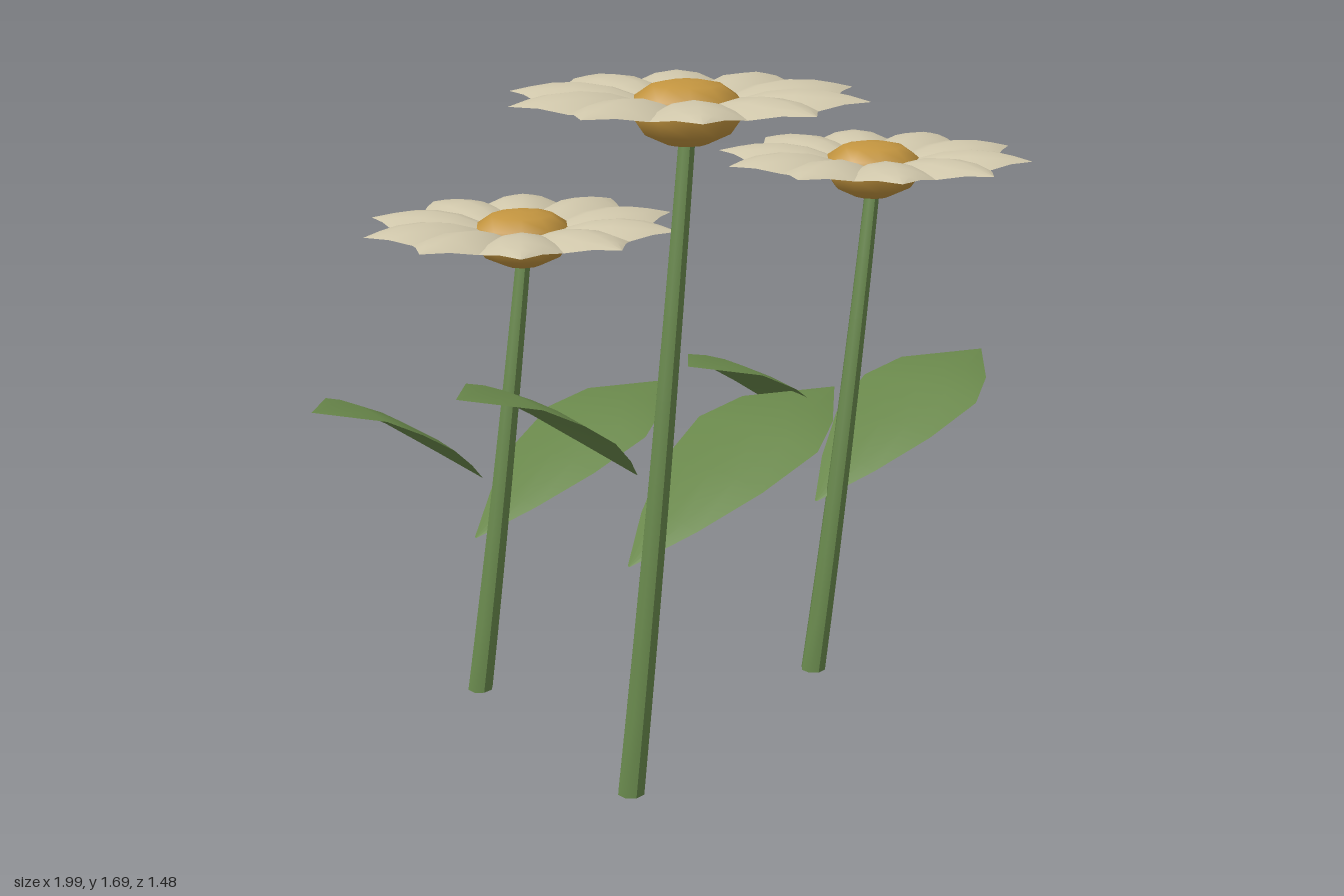
import * as THREE from 'three';

const green = (name, color) => Object.assign(new THREE.MeshStandardMaterial({ color, side: THREE.DoubleSide }), { name });
const leafMat = green('leaf green', 0x68864a);
const petalMat = green('petal cream', 0xcfc6aa);
const stemMat = new THREE.MeshStandardMaterial({ color: 0x68884c });
stemMat.name = 'stem green';
const centreMat = new THREE.MeshStandardMaterial({ color: 0xc2943f });
centreMat.name = 'centre gold';

// Blade along +x from rows of [along, up, halfWidth, edgeDrop], ridged in the middle
function blade(rows) {
  const pos = [], index = [];
  for (const [x, y, w, drop] of rows) {
    for (const s of [-1, -0.5, 0, 0.5, 1]) pos.push(x, y - drop * s * s, s * w);
  }
  for (let r = 0; r < rows.length - 1; r++) {
    for (let c = 0; c < 4; c++) {
      const a = r * 5 + c, b = a + 5;
      index.push(a, a + 1, b, a + 1, b + 1, b);
    }
  }
  const geo = new THREE.BufferGeometry();
  geo.setAttribute('position', new THREE.Float32BufferAttribute(pos, 3));
  geo.setIndex(index);
  geo.computeVertexNormals();
  return geo;
}

// Arching leaf with a pointed base; length and half width differ for the two leaves of a stem
function leafGeometry(length, width) {
  return blade([
    [0, 0, 0.02, 0], [0.18, 0.085, 0.47, 0.01], [0.38, 0.17, 0.84, 0.016],
    [0.6, 0.243, 1, 0.018], [0.75, 0.28, 0.76, 0.014], [1, 0.285, 0, 0],
  ].map(([t, y, w, d]) => [t * length, y, w * width, d]));
}
const lowerLeaf = leafGeometry(0.72, 0.2);
const upperLeaf = leafGeometry(0.495, 0.178);

// Pointed petal, wide enough that its sides tuck under its neighbours
const petalGeo = blade([
  [0.07, 0.012, 0.04, 0.012], [0.12, 0.034, 0.065, 0.02], [0.18, 0.052, 0.09, 0.028],
  [0.25, 0.06, 0.105, 0.034], [0.312, 0.056, 0.102, 0.03], [0.36, 0.047, 0.052, 0.012], [0.411, 0.035, 0, 0],
]);

// Flattened seed cushion
const centreGeo = new THREE.LatheGeometry([
  [0, -0.072], [0.046, -0.07], [0.1, -0.045], [0.128, -0.005],
  [0.12, 0.035], [0.08, 0.062], [0.04, 0.07], [0, 0.072],
].map(([x, y]) => new THREE.Vector2(x, y)), 10);
centreGeo.rotateY(Math.PI / 2);

const LEAN_X = 0.17, LEAN_Z = -0.042;

function flower(name, x, z, height) {
  const g = new THREE.Group();
  g.name = name;
  g.position.set(x, 0, z);
  const add = (part, geo, mat, parent = g) => {
    const m = new THREE.Mesh(geo, mat);
    m.name = part;
    parent.add(m);
    return m;
  };

  // Tapered stem, leaning to +x and bending to -z
  const stem = new THREE.CylinderGeometry(0.02, 0.034, height, 8, 8);
  stem.translate(0, height / 2, 0);
  const p = stem.attributes.position;
  for (let i = 0; i < p.count; i++) {
    const t = p.getY(i) / height;
    p.setX(i, p.getX(i) + LEAN_X * t);
    p.setZ(i, p.getZ(i) + LEAN_Z * t * t);
  }
  stem.computeVertexNormals();
  add('stem', stem, stemMat);

  // Two leaves at fixed fractions of the stem, rooted just beside it
  for (const [part, geo, t, dx, dz] of [
    ['lowerLeaf', lowerLeaf, 0.37, 0.665, -0.27],
    ['upperLeaf', upperLeaf, 0.512, -0.463, 0.17],
  ]) {
    const leaf = add(part, geo, leafMat);
    leaf.position.set(LEAN_X * t - 0.055, height * t, LEAN_Z * t * t - 0.01);
    leaf.rotation.y = Math.atan2(-dz, dx);
  }

  // Flower head
  const head = new THREE.Group();
  head.name = 'flowerHead';
  head.position.set(LEAN_X, height + 0.062, LEAN_Z);
  g.add(head);
  add('centre', centreGeo, centreMat, head);
  for (let i = 0; i < 10; i++) {
    add('petal', petalGeo, petalMat, head).rotation.y = i * Math.PI / 5;
  }
  return g;
}

export function createModel() {
  const model = new THREE.Group();
  model.name = 'daisies';
  model.add(
    flower('tallFlower', -0.389, 0.39, 1.56),
    flower('middleFlower', 0.321, -0.06, 1.311),
    flower('shortFlower', -0.56, -0.305, 1.155),
  );
  return model;
}
